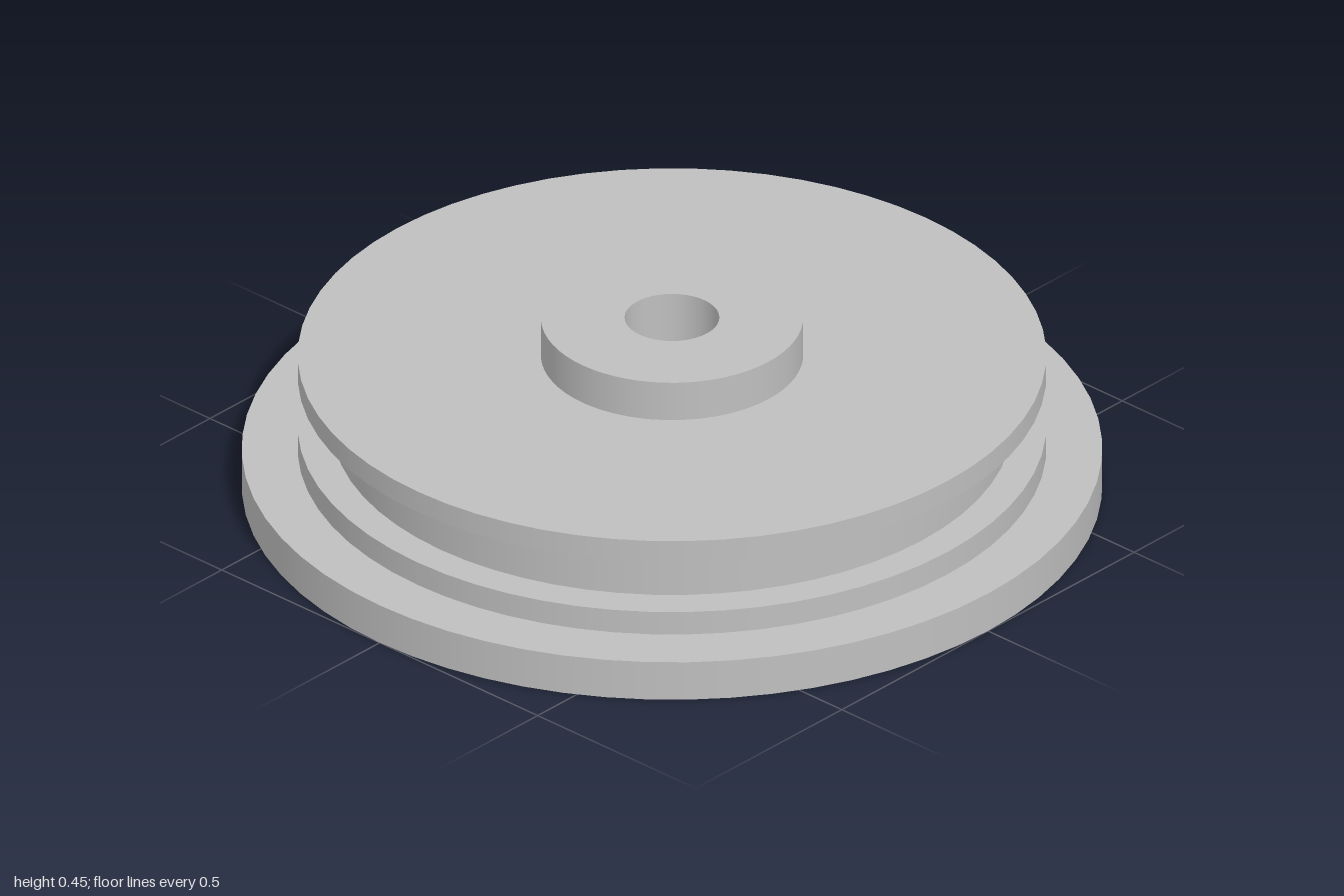
import * as THREE from 'three';
import { mergeGeometries } from 'three/addons/utils/BufferGeometryUtils.js';

const SEGMENTS = 64;

// Revolves each profile edge separately, so rims stay crisp and walls smooth.
// Profiles run outwards along the underside, up the outside, inwards on top.
function turned(name, profile, material) {
  const edges = [];
  for (let i = 0; i < profile.length - 1; i++) {
    const pair = [profile[i], profile[i + 1]].map(([r, y]) => new THREE.Vector2(r, y));
    edges.push(new THREE.LatheGeometry(pair, SEGMENTS));
  }
  const mesh = new THREE.Mesh(mergeGeometries(edges), material);
  mesh.name = name;
  return mesh;
}

export function createModel() {
  const metal = new THREE.MeshStandardMaterial({ color: 0xbfbfbf });
  metal.name = 'grey metal';

  const bore = 0.11, flange = 1, rim = 0.87, groove = 0.79, hub = 0.305;
  const model = new THREE.Group();
  model.name = 'grooved pulley';
  model.add(
    // wide base disc with its underside
    turned('baseFlange', [[bore, 0], [flange, 0], [flange, 0.1], [rim, 0.1]], metal),
    // lower lip of the groove
    turned('lowerRim', [[rim, 0.1], [rim, 0.16], [groove, 0.16]], metal),
    // recessed wall
    turned('grooveWall', [[groove, 0.16], [groove, 0.295]], metal),
    // upper lip and top face
    turned('upperRim', [[groove, 0.295], [rim, 0.295], [rim, 0.35], [hub, 0.35]], metal),
    // raised collar
    turned('hub', [[hub, 0.35], [hub, 0.45], [bore, 0.45]], metal),
    // hole through the whole piece
    turned('bore', [[bore, 0.45], [bore, 0]], metal)
  );
  return model;
}
